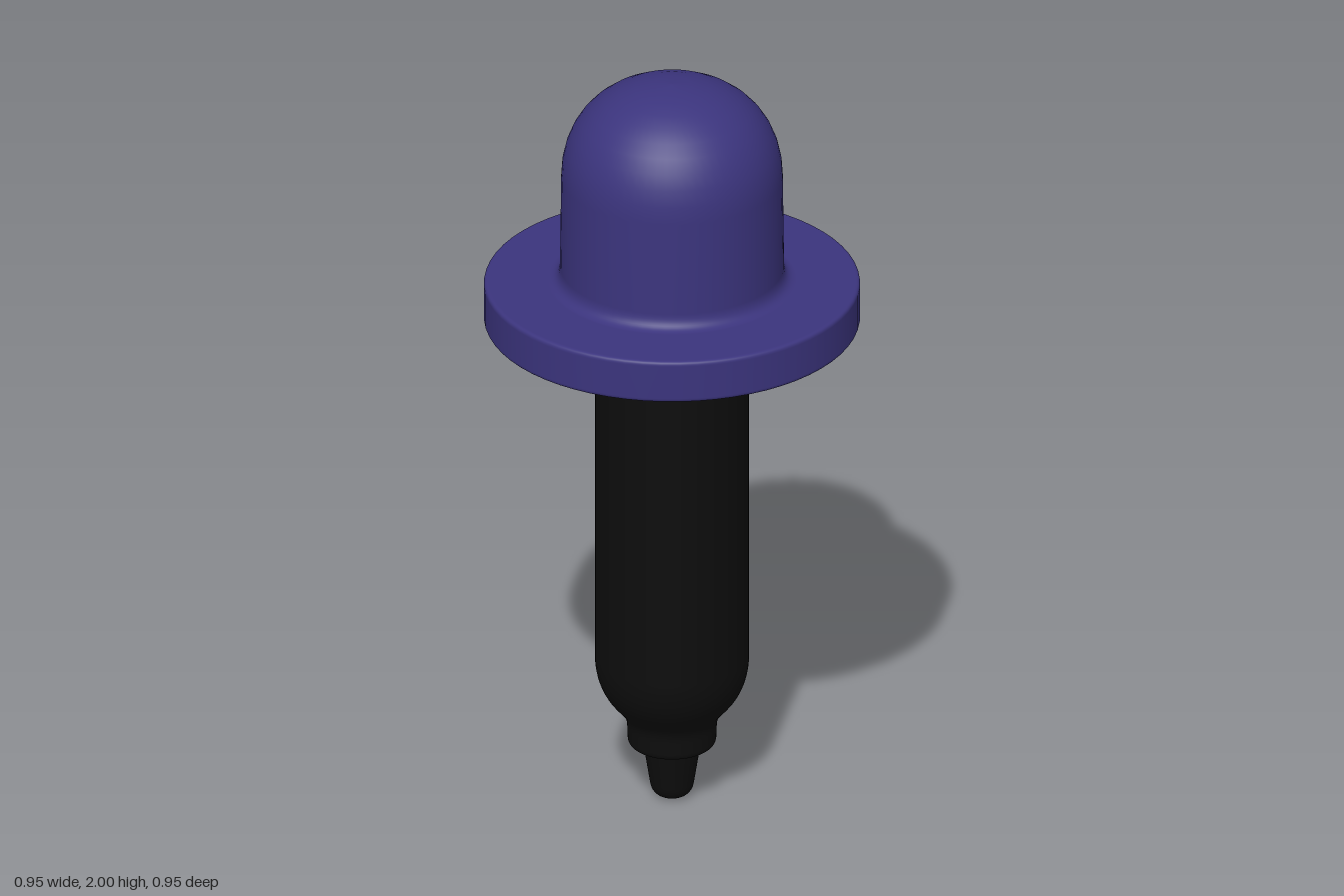
import * as THREE from 'three';

// Revolves a path, drawn from bottom to top, around the y axis
function revolve(name, path, color) {
  const geometry = new THREE.LatheGeometry(path.getPoints(10), 64);
  const mesh = new THREE.Mesh(geometry, new THREE.MeshStandardMaterial({ color }));
  mesh.name = name;
  return mesh;
}

export function createModel() {
  const group = new THREE.Group();
  group.name = 'dropper';

  // Black tube: rounded tip, stepped neck, shoulder, straight barrel, flared top
  const tube = new THREE.Path();
  tube.moveTo(0, 0);
  tube.lineTo(0.015, 0);
  tube.bezierCurveTo(0.04, 0.002, 0.053, 0.015, 0.056, 0.04);
  tube.lineTo(0.071, 0.135);
  tube.quadraticCurveTo(0.073, 0.147, 0.083, 0.147);
  tube.lineTo(0.098, 0.147);
  tube.quadraticCurveTo(0.111, 0.149, 0.112, 0.165);
  tube.lineTo(0.113, 0.195);
  tube.bezierCurveTo(0.114, 0.225, 0.124, 0.236, 0.142, 0.256);
  tube.bezierCurveTo(0.172, 0.288, 0.195, 0.33, 0.195, 0.4);
  tube.lineTo(0.195, 1.305);
  tube.quadraticCurveTo(0.197, 1.335, 0.222, 1.337);
  tube.lineTo(0, 1.337);
  group.add(revolve('tube', tube, 0x0d0d0d));

  // Rubber bulb: flat collar with softened rims, fillet and domed grip
  const bulb = new THREE.Path();
  bulb.moveTo(0, 1.336);
  bulb.lineTo(0.463, 1.336);
  bulb.quadraticCurveTo(0.475, 1.336, 0.475, 1.348);
  bulb.lineTo(0.475, 1.438);
  bulb.quadraticCurveTo(0.475, 1.45, 0.463, 1.45);
  bulb.lineTo(0.315, 1.45);
  bulb.quadraticCurveTo(0.284, 1.453, 0.283, 1.49);
  bulb.lineTo(0.28, 1.74);
  bulb.bezierCurveTo(0.28, 1.9, 0.17, 2, 0, 2);
  group.add(revolve('bulb', bulb, 0x3b347d));

  return group;
}
